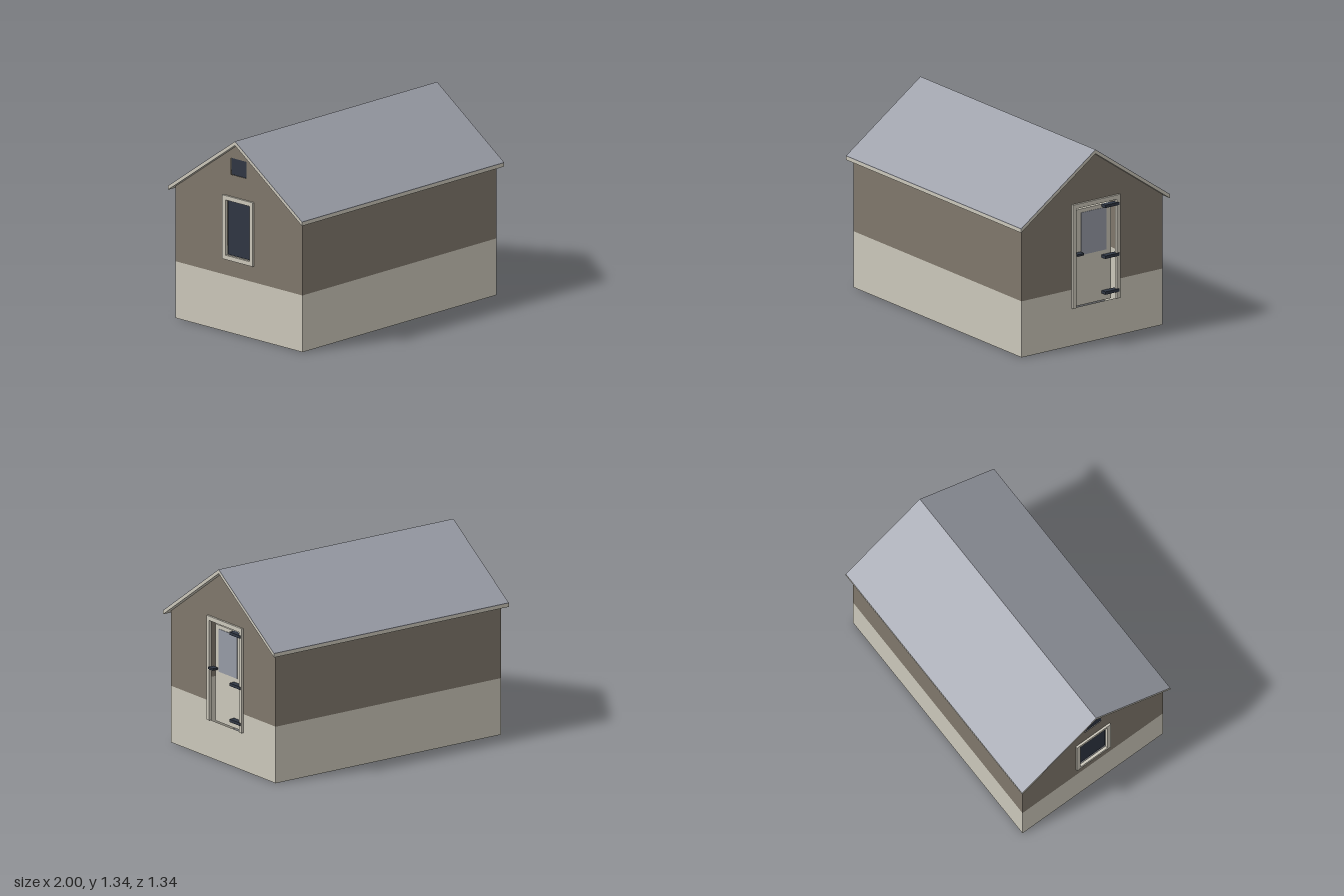
import * as THREE from 'three';

const L = 0.927, D = 0.581;          // half length and half depth of the walls
const SPLIT = 0.39;                  // top of the pale plinth
const RL = 0.965, RD = 0.613;        // half length and half depth of the roof
const RIDGE = 1.34, EAVE = 0.91, SLAB = 0.028;
const underside = z => RIDGE - SLAB - (RIDGE - EAVE) / RD * Math.abs(z);

const paint = (name, color, side = THREE.FrontSide) => {
  const m = new THREE.MeshStandardMaterial({ color, side });
  m.name = name;
  return m;
};

export function createModel() {
  const cream = paint('cream', 0xcbc7ba, THREE.DoubleSide);
  const brown = paint('brown', 0x7f776b, THREE.DoubleSide);
  const slate = paint('slate grey', 0x9da0aa);
  const pane = paint('door glass', 0x969aa5);
  const dark = paint('dark navy', 0x2f3643);

  const root = new THREE.Group();
  root.name = 'shed';
  const add = (parent, name, geo, mat) => {
    const m = new THREE.Mesh(geo, mat);
    m.name = name;
    parent.add(m);
    return m;
  };
  // box given by its limits in the gable plane (u across, v up, w outward)
  const slab = (parent, name, mat, u0, u1, v0, v1, w0, w1) =>
    add(parent, name, new THREE.BoxGeometry(u1 - u0, v1 - v0, w1 - w0)
      .translate((u0 + u1) / 2, (v0 + v1) / 2, (w0 + w1) / 2), mat);
  const outline = pts => new THREE.Shape(pts.map(p => new THREE.Vector2(...p)));
  const rectHole = (u0, u1, v0, v1) => outline([[u0, v0], [u0, v1], [u1, v1], [u1, v0]]);

  // long walls
  for (const s of [1, -1]) {
    const wall = new THREE.Group();
    wall.name = s > 0 ? 'frontWall' : 'backWall';
    wall.rotation.y = s > 0 ? 0 : Math.PI;
    root.add(wall);
    const top = underside(D);
    add(wall, 'plinth', new THREE.PlaneGeometry(2 * L, SPLIT).translate(0, SPLIT / 2, D), cream);
    add(wall, 'upperWall', new THREE.PlaneGeometry(2 * L, top - SPLIT)
      .translate(0, (top + SPLIT) / 2, D), brown);
  }

  // gable ends; local z points outward
  const gable = (name, s) => {
    const g = new THREE.Group();
    g.name = name;
    g.rotation.y = s * Math.PI / 2;
    g.position.x = s * L;
    root.add(g);
    return g;
  };
  const roofLine = [[D, SPLIT], [D, underside(D)], [0, underside(0)], [-D, underside(D)], [-D, SPLIT]];

  // door gable, with the doorway cut through plinth and wall
  const doorEnd = gable('doorGable', 1);
  const a = -0.139, b = 0.193, sill = 0.26, head = 0.95;
  add(doorEnd, 'plinth', new THREE.ShapeGeometry(outline([[-D, 0], [D, 0], [D, SPLIT],
    [b, SPLIT], [b, sill], [a, sill], [a, SPLIT], [-D, SPLIT]])), cream);
  add(doorEnd, 'upperWall', new THREE.ShapeGeometry(outline([...roofLine,
    [a, SPLIT], [a, head], [b, head], [b, SPLIT]])), brown);
  const w = 0.03;
  slab(doorEnd, 'doorFrameSide', cream, a - w, a, sill, head + w, -0.005, 0.014);
  slab(doorEnd, 'doorFrameSide', cream, b, b + w, sill, head + w, -0.005, 0.014);
  slab(doorEnd, 'doorFrameTop', cream, a, b, head, head + w, -0.005, 0.014);

  // door leaf, set back in the doorway
  slab(doorEnd, 'doorLeaf', cream, -0.115, 0.17, sill, 0.928, -0.04, -0.02);
  for (const [w0, w1] of [[-0.02, -0.017], [-0.043, -0.04]])
    slab(doorEnd, 'doorWindow', pane, -0.075, 0.131, 0.607, 0.902, w0, w1);
  for (const y of [0.92, 0.567, 0.318])
    slab(doorEnd, 'hinge', dark, 0.094, 0.211, y - 0.01, y + 0.01, -0.02, 0.02);
  slab(doorEnd, 'doorHandle', dark, -0.137, -0.083, 0.618, 0.632, -0.02, 0.024);

  // window gable, with a main window and a small loft window
  const windowEnd = gable('windowGable', -1);
  add(windowEnd, 'plinth', new THREE.PlaneGeometry(2 * D, SPLIT).translate(0, SPLIT / 2, 0), cream);
  const wallShape = outline(roofLine);
  wallShape.holes.push(rectHole(-0.11, 0.11, 0.53, 0.91), rectHole(-0.07, 0.07, 1.09, 1.205));
  add(windowEnd, 'upperWall', new THREE.ShapeGeometry(wallShape), brown);
  const frame = outline([[-0.14, 0.5], [0.14, 0.5], [0.14, 0.94], [-0.14, 0.94]]);
  frame.holes.push(rectHole(-0.11, 0.11, 0.53, 0.91));
  add(windowEnd, 'windowFrame', new THREE.ExtrudeGeometry(frame,
    { depth: 0.019, bevelEnabled: false }).translate(0, 0, -0.005), cream);
  slab(windowEnd, 'windowGlass', dark, -0.11, 0.11, 0.53, 0.91, -0.02, -0.012);
  slab(windowEnd, 'loftWindowGlass', dark, -0.07, 0.07, 1.09, 1.205, -0.012, -0.004);

  // roof: a pale chevron slab under a thin slate skin
  const chevron = (name, mat, top, bottom) => {
    const drop = RIDGE - EAVE;
    const s = outline([[-RD, top - drop], [-RD, bottom - drop], [0, bottom],
      [RD, bottom - drop], [RD, top - drop], [0, top]]);
    const geo = new THREE.ExtrudeGeometry(s, { depth: 2 * RL, bevelEnabled: false });
    add(root, name, geo.translate(0, 0, -RL).rotateY(Math.PI / 2), mat);
  };
  chevron('roofBoards', cream, RIDGE - 0.004, RIDGE - SLAB);
  chevron('roofCover', slate, RIDGE, RIDGE - 0.004);

  // the whole building stands slightly turned
  root.rotation.y = -0.06;
  const model = new THREE.Group();
  model.name = 'gardenShed';
  model.add(root);
  return model;
}
